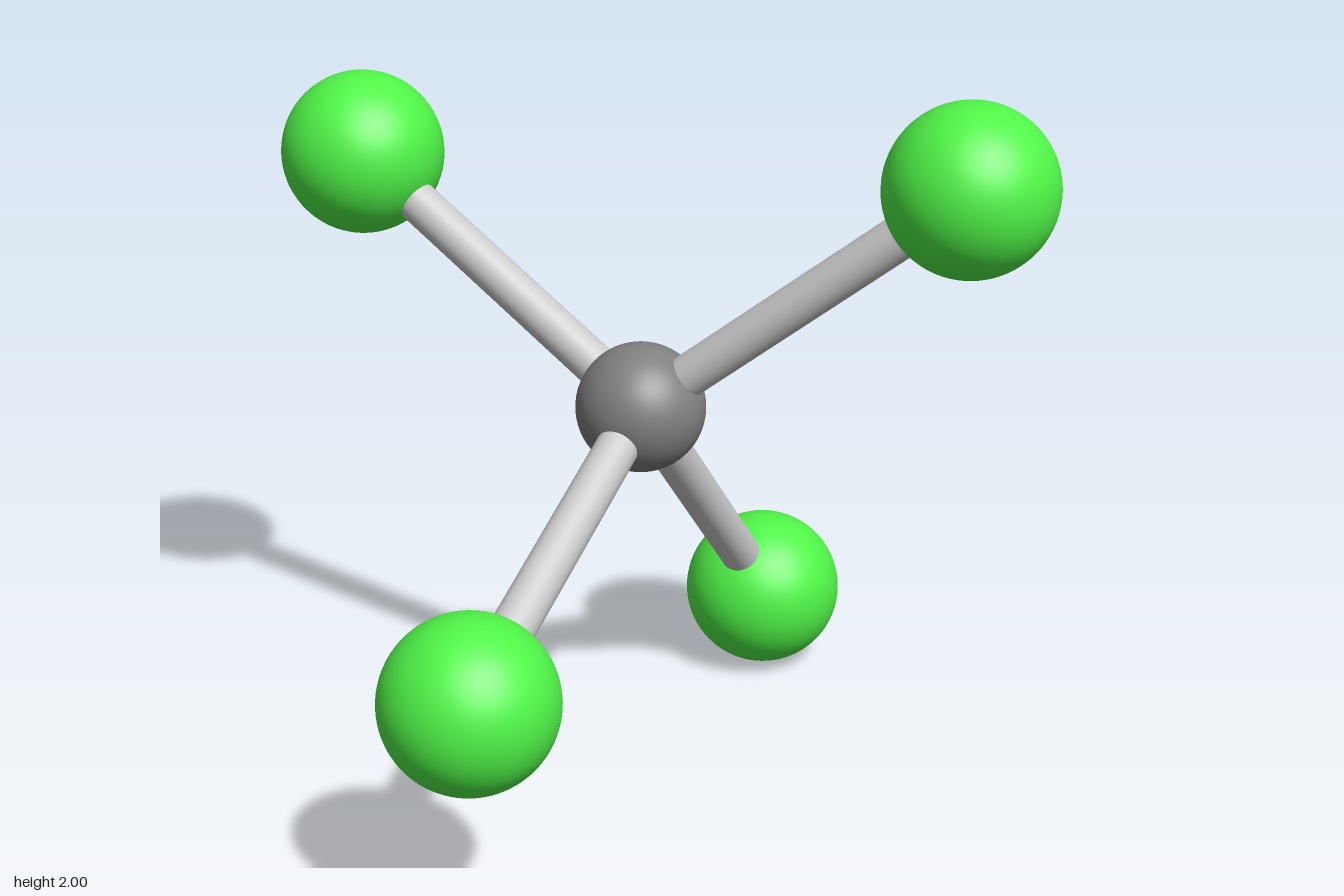
import * as THREE from 'three';

export function createModel() {
  const group = new THREE.Group();
  const centre = new THREE.Vector3(0, 1.07, 0.01);
  const outerPoints = [
    [0.72, 1.765, 0.55],
    [-0.58, 1.66, -0.765],
    [-0.72, 0.62, 0.765],
    [0.58, 0.235, -0.5],
  ].map((p) => new THREE.Vector3(...p));

  const rodMaterial = new THREE.MeshStandardMaterial({ color: 0xcccccc });
  const coreMaterial = new THREE.MeshStandardMaterial({ color: 0x808080 });
  const outerMaterial = new THREE.MeshStandardMaterial({ color: 0x50f548 });

  function addBall(name, position, radius, material) {
    const ball = new THREE.Mesh(new THREE.SphereGeometry(radius, 64, 40), material);
    ball.name = name;
    ball.position.copy(position);
    group.add(ball);
  }

  // Cylinder running between two points
  function addRod(name, from, to, radius) {
    const direction = to.clone().sub(from);
    const rod = new THREE.Mesh(
      new THREE.CylinderGeometry(radius, radius, direction.length(), 40),
      rodMaterial
    );
    rod.name = name;
    rod.position.copy(from).add(to).multiplyScalar(0.5);
    rod.quaternion.setFromUnitVectors(new THREE.Vector3(0, 1, 0), direction.normalize());
    group.add(rod);
  }

  // Central ball, then four rods each carrying an outer ball
  addBall('centreBall', centre, 0.182, coreMaterial);
  outerPoints.forEach((point, i) => {
    addRod(`rod${i + 1}`, centre, point, 0.06);
    addBall(`outerBall${i + 1}`, point, 0.235, outerMaterial);
  });

  return group;
}
